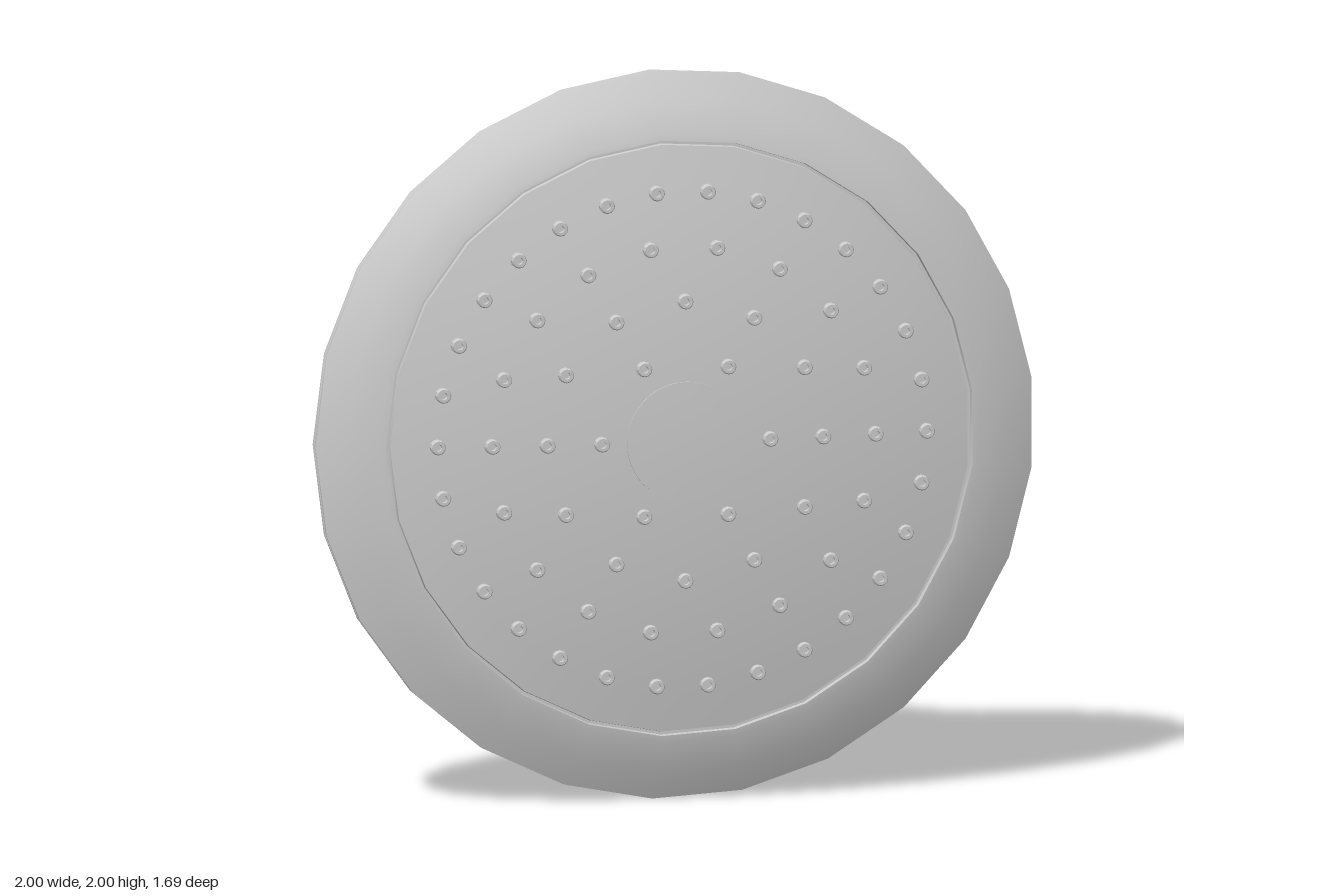
import * as THREE from 'three';
import { toCreasedNormals } from 'three/addons/utils/BufferGeometryUtils.js';

const CREASE = 0.5;

// Turned part around z; profile of [radius, z] runs from back to front.
function turned(profile, segments) {
  const points = profile.map(([r, z]) => new THREE.Vector2(r, z));
  const g = new THREE.LatheGeometry(points, segments, Math.PI * 1.5);
  g.rotateX(Math.PI / 2);
  return g;
}

// Height of the domed spray face at a given radius.
const dome = (r) => 0.83 - 0.118 * r * r;
const domeProfile = (from, to, steps, lift = 0) =>
  Array.from({ length: steps + 1 }, (_, i) => {
    const r = from + ((to - from) * i) / steps;
    return [r, dome(r) + lift];
  });

export function createModel() {
  const model = new THREE.Group();
  const head = new THREE.Group();
  head.name = 'showerHead';
  head.position.y = 1;
  model.add(head);

  const material = new THREE.MeshStandardMaterial({ color: 0xcccccc });
  const add = (name, geometry, parent = head) => {
    const mesh = new THREE.Mesh(toCreasedNormals(geometry, CREASE), material);
    mesh.name = name;
    parent.add(mesh);
    return mesh;
  };

  // Flared bell with a recessed socket at the back
  add('bell', turned([
    [0, -0.35], [0.2, -0.35], [0.2, -0.42], [0.25, -0.42],
    [0.285, -0.26], [0.395, 0.02], [0.575, 0.29], [0.8, 0.515],
    [1.004, 0.655], [1.004, 0.665], [0.99, 0.672],
  ], 25));

  // Front rim, separated from the bell and the face by fine grooves
  add('frontRim', turned([
    [0.99, 0.672], [1.004, 0.68], [1.004, 0.69], [0.925, 0.727],
    [0.84, 0.755], [0.822, 0.758], [0.82, 0.74], [0.812, 0.74],
  ], 25));

  // Domed spray face and its centre disc
  add('sprayFace', turned([[0.812, 0.74], ...domeProfile(0.81, 0, 8)], 25));
  add('centreDisc', turned([[0.165, 0.82], ...domeProfile(0.165, 0, 4, 0.005)], 48));

  // Four rings of hollow nozzles
  const nozzles = new THREE.Group();
  nozzles.name = 'nozzles';
  head.add(nozzles);
  const nozzleShape = turned([
    [0.021, -0.012], [0.021, 0.015], [0.018, 0.02],
    [0.01, 0.02], [0.009, 0.008], [0, 0.008],
  ], 12);
  for (const [radius, count] of [[0.235, 6], [0.385, 12], [0.535, 18], [0.683, 30]]) {
    for (let i = 0; i < count; i++) {
      const a = (i / count) * Math.PI * 2;
      add('nozzle', nozzleShape, nozzles)
        .position.set(radius * Math.cos(a), radius * Math.sin(a), dome(radius));
    }
  }

  // Swivel ball, neck and pipe fitting, with wrench flats on both sides
  const fitting = turned([
    [0, -0.845], [0.174, -0.845], [0.18, -0.839], [0.18, -0.801],
    [0.18, -0.8], [0.18, -0.58], [0.177, -0.555], [0.165, -0.53],
    [0.145, -0.512], [0.122, -0.498], [0.111, -0.48], [0.113, -0.46],
    [0.13, -0.445], [0.15, -0.42], [0.162, -0.39], [0.165, -0.35],
  ], 64);
  const p = fitting.attributes.position;
  for (let i = 0; i < p.count; i++) {
    if (p.getZ(i) > -0.8005) p.setX(i, THREE.MathUtils.clamp(p.getX(i), -0.165, 0.165));
  }
  add('pipeFitting', fitting);

  return model;
}
